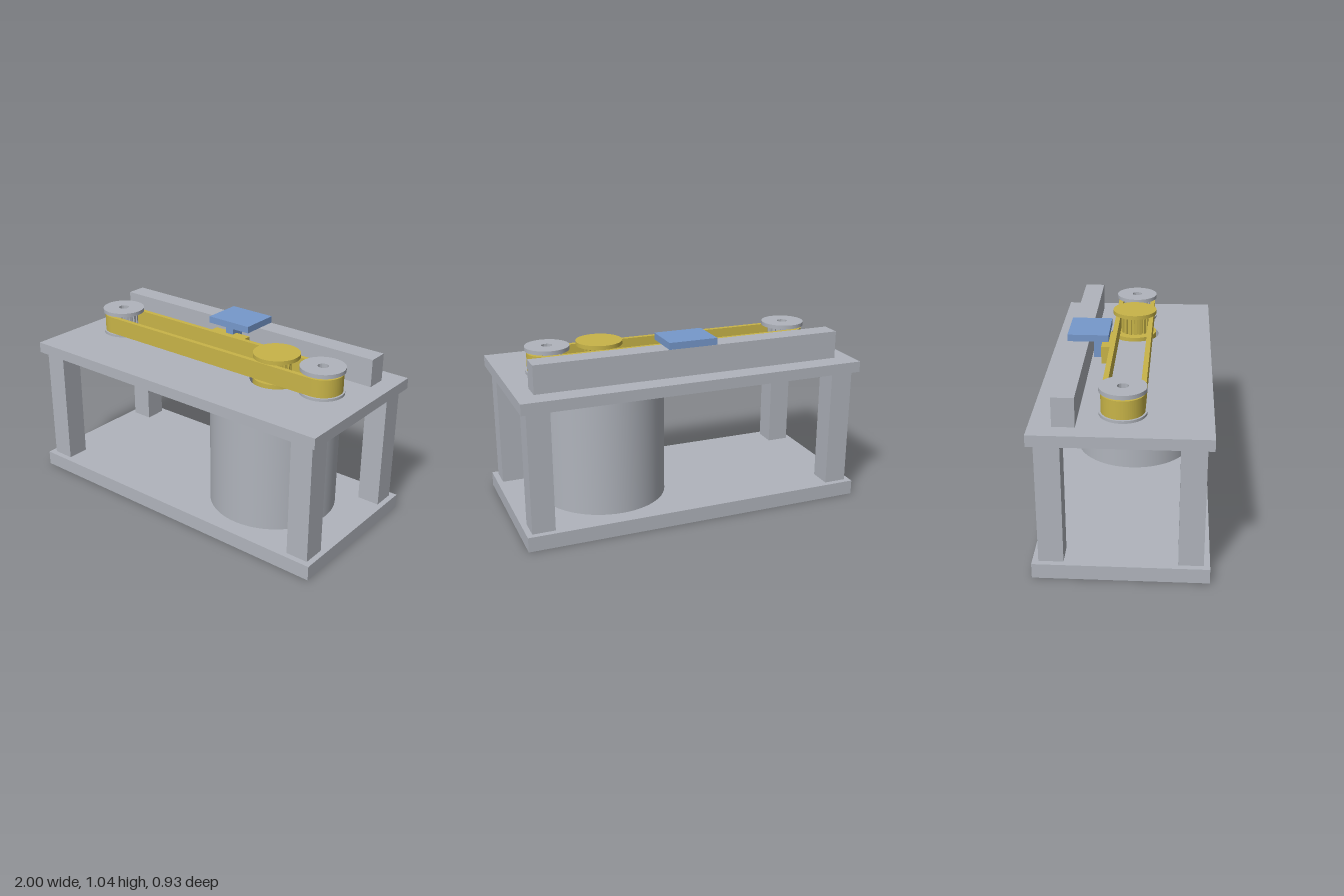
import * as THREE from 'three';
import { toCreasedNormals } from 'three/addons/utils/BufferGeometryUtils.js';

const mat = (name, color) => Object.assign(new THREE.MeshStandardMaterial({ color }), { name });

export function createModel() {
  const root = new THREE.Group();
  const grey = mat('metalGrey', 0xb0b4bc);
  const yellow = mat('beltYellow', 0xc8b448);
  const blue = mat('carriageBlue', 0x7698cb);

  const add = (name, geometry, material, parent = root) => {
    const mesh = new THREE.Mesh(geometry, material);
    mesh.name = name;
    parent.add(mesh);
    return mesh;
  };

  // Box given by its limits on each axis
  const box = (name, [x0, x1], [y0, y1], [z0, z1], material) => {
    const m = add(name, new THREE.BoxGeometry(x1 - x0, y1 - y0, z1 - z0), material);
    m.position.set((x0 + x1) / 2, (y0 + y1) / 2, (z0 + z1) / 2);
    return m;
  };

  // Plan outline raised from y0 to y1
  const slab = (shape, y0, y1) => {
    const g = new THREE.ExtrudeGeometry(shape, { depth: y1 - y0, bevelEnabled: false, curveSegments: 32 });
    g.rotateX(-Math.PI / 2).translate(0, y0, 0);
    return toCreasedNormals(g, 0.5);
  };
  const circle = (x, z, r, Type = THREE.Path) => new Type().absarc(x, -z, r, 0, Math.PI * 2, false);
  const plate = (holes) => {
    const s = new THREE.Shape([[-1, -0.467], [1, -0.467], [1, 0.467], [-1, 0.467]].map((p) => new THREE.Vector2(...p)));
    s.holes = holes.map(([x, z, r]) => circle(x, z, r));
    return s;
  };
  const ring = (r, hole) => {
    const s = circle(0, 0, r, THREE.Shape);
    if (hole) s.holes.push(circle(0, 0, hole));
    return s;
  };

  const motorX = 0.432, idlerX = 0.733;

  // Base plate with a centre hole and six counterbored screw holes
  const screws = (r) => Array.from({ length: 6 }, (_, i) => {
    const a = Math.PI / 6 + i * Math.PI / 3;
    return [motorX + 0.294 * Math.cos(a), 0.294 * Math.sin(a), r];
  });
  add('basePlateLower', slab(plate([[motorX, 0, 0.1], ...screws(0.063)]), 0, 0.043), grey);
  add('basePlateUpper', slab(plate([[motorX, 0, 0.1], ...screws(0.036)]), 0.043, 0.085), grey);

  // Top plate with openings for the drive pulley, idler axles and rail screws
  add('topPlate', slab(plate([
    [motorX, 0, 0.147], [idlerX, 0, 0.03], [-idlerX, 0, 0.03], [0.605, -0.288, 0.037], [-0.605, -0.288, 0.037],
  ]), 0.777, 0.84), grey);

  // Corner posts
  for (const sx of [-1, 1]) for (const sz of [-1, 1]) {
    const post = box('post', [-0.065, 0.065], [0.085, 0.777], [-0.0665, 0.0665], grey);
    post.position.x = sx * 0.903;
    post.position.z = sz * 0.367;
  }

  // Motor body
  add('motor', new THREE.CylinderGeometry(0.367, 0.367, 0.683, 64), grey).position.set(motorX, 0.4265, 0);

  // Toothed pulley core outline
  const core = (hole) => {
    const pts = [], teeth = 16;
    for (let i = 0; i < teeth; i++) {
      [[0, 0.085], [0.5, 0.085], [0.55, 0.074], [0.95, 0.074]].forEach(([t, r]) => {
        const a = (i + t) / teeth * Math.PI * 2;
        pts.push(new THREE.Vector2(r * Math.cos(a), r * Math.sin(a)));
      });
    }
    const s = new THREE.Shape(pts);
    if (hole) s.holes.push(circle(0, 0, hole));
    return s;
  };

  // Pulley made of lower flange, toothed core and upper flange
  const pulley = (name, x, r, hole, y0, yFlange, material) => {
    const g = new THREE.Group();
    g.name = name;
    g.position.x = x;
    add('lowerFlange', slab(ring(r, hole), y0, yFlange), material, g);
    add('toothedCore', slab(core(hole), yFlange, 0.975), material, g);
    add('upperFlange', slab(ring(r, hole), 0.975, 0.998), material, g);
    root.add(g);
    return g;
  };
  for (const sx of [-1, 1]) {
    const idler = pulley('idlerPulley', sx * idlerX, 0.125, 0.03, 0.845, 0.86, grey);
    add('spacer', slab(ring(0.05, 0.03), 0.84, 0.845), grey, idler);
  }
  pulley('drivePulley', motorX, 0.132, 0, 0.768, 0.858, yellow);

  // Belt loop
  const loop = (Type, r) => {
    const s = new Type();
    s.absarc(idlerX, 0, r, -Math.PI / 2, Math.PI / 2, false);
    s.absarc(-idlerX, 0, r, Math.PI / 2, Math.PI * 1.5, false);
    s.closePath();
    return s;
  };
  const belt = loop(THREE.Shape, 0.115);
  belt.holes.push(loop(THREE.Path, 0.087));
  add('belt', slab(belt, 0.861, 0.963), yellow);
  box('beltClamp', [-0.122, 0.122], [0.861, 0.963], [-0.163, -0.112], yellow);

  // Guide rail and sliding carriage
  box('guideRail', [-0.9, 0.9], [0.84, 1.0], [-0.347, -0.229], grey);
  box('carriagePlate', [-0.142, 0.142], [1.001, 1.04], [-0.35, -0.118], blue);
  box('carriageArm', [-0.026, 0.026], [0.862, 1.001], [-0.213, -0.126], blue);

  return root;
}
